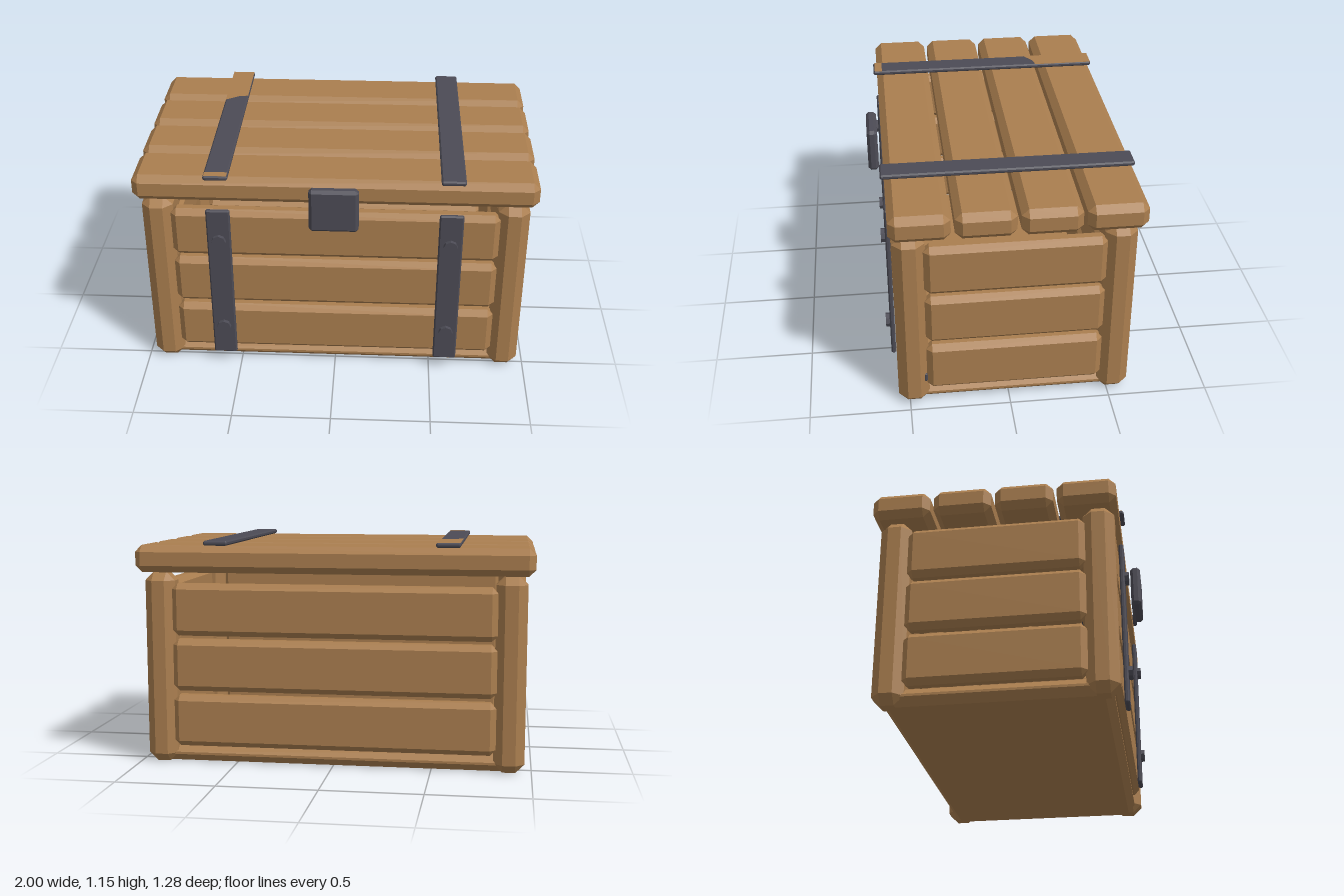
import * as THREE from 'three';
import { ConvexGeometry } from 'three/addons/geometries/ConvexGeometry.js';

const wood = new THREE.MeshStandardMaterial({ color: 0xaa7e4f });
wood.name = 'wood';
const iron = new THREE.MeshStandardMaterial({ color: 0x4c4b55 });
iron.name = 'iron';

// Box between two corners with every edge bevelled by c
function bevelBox(name, min, max, c, material) {
  const half = min.map((v, i) => (max[i] - v) / 2);
  const points = [];
  for (const sx of [-1, 1]) for (const sy of [-1, 1]) for (const sz of [-1, 1]) {
    for (let axis = 0; axis < 3; axis++) {
      const p = [sx, sy, sz].map((s, i) => s * (half[i] - (i === axis ? 0 : c)));
      points.push(new THREE.Vector3(...p));
    }
  }
  const mesh = new THREE.Mesh(new ConvexGeometry(points), material);
  mesh.position.set(...min.map((v, i) => (v + max[i]) / 2));
  mesh.name = name;
  return mesh;
}

// Thin flat plate on top of the lid, outlined by [x, z] points
function topPlate(name, outline, y, material) {
  const shape = new THREE.Shape(outline.map(([x, z]) => new THREE.Vector2(x, -z)));
  const geometry = new THREE.ExtrudeGeometry(shape, { depth: 0.001, bevelEnabled: false });
  geometry.rotateX(-Math.PI / 2);
  const mesh = new THREE.Mesh(geometry, material);
  mesh.position.y = y;
  mesh.name = name;
  return mesh;
}

export function createModel() {
  const chest = new THREE.Group();
  chest.name = 'chest';
  const body = new THREE.Group();
  body.name = 'body';
  const lid = new THREE.Group();
  lid.name = 'lid';
  const fittings = new THREE.Group();
  fittings.name = 'fittings';
  chest.add(body, lid, fittings);

  // Floor and corner posts
  body.add(bevelBox('floor', [-0.93, 0, -0.57], [0.93, 0.088, 0.52], 0.038, wood));
  for (const x of [-0.965, 0.81]) for (const z of [-0.605, 0.4]) {
    body.add(bevelBox('cornerPost', [x, 0, z], [x + 0.155, 0.985, z + 0.155], 0.045, wood));
  }

  // Three rows of wall planks, nearly flush with the posts, with open gaps
  for (const y of [0.087, 0.375, 0.66]) {
    const top = y + 0.267;
    for (const z of [-0.602, 0.46]) {
      body.add(bevelBox('longPlank', [-0.822, y, z], [0.822, top, z + 0.092], 0.029, wood));
    }
    for (const x of [-0.962, 0.87]) {
      body.add(bevelBox('sidePlank', [x, y, -0.461], [x + 0.092, top, 0.411], 0.029, wood));
    }
  }

  // Lid planks
  for (let i = 0; i < 4; i++) {
    const z = -0.64 + i * 0.307;
    lid.add(bevelBox('lidPlank', [-1, 0.985, z], [1, 1.122, z + 0.289], 0.034, wood));
  }

  // Iron straps on the lid and front, with bolts
  for (const x of [-0.578, 0.578]) {
    fittings.add(bevelBox('lidStrap', [x - 0.06, 1.123, -0.641], [x + 0.06, 1.147, 0.589], 0.007, iron));
    fittings.add(bevelBox('frontStrap', [x - 0.06, 0.073, 0.556], [x + 0.06, 0.948, 0.58], 0.007, iron));
    for (const y of [0.25, 0.775]) {
      const bolt = new THREE.Mesh(new THREE.CylinderGeometry(0.036, 0.036, 0.04, 8).toNonIndexed(), iron);
      bolt.geometry.computeVertexNormals();
      bolt.rotation.x = Math.PI / 2;
      bolt.position.set(x, y, 0.58);
      bolt.name = 'bolt';
      fittings.add(bolt);
    }
  }

  // Bare wood patches on the right lid strap
  fittings.add(topPlate('rearStrapPatch',
    [[-0.636, -0.639], [-0.636, -0.27], [-0.57, -0.315], [-0.52, -0.325], [-0.52, -0.639]], 1.1465, wood));
  fittings.add(topPlate('frontStrapPatch',
    [[-0.634, 0.542], [-0.634, 0.582], [-0.522, 0.582], [-0.522, 0.542]], 1.1465, wood));

  // Lock plate and a small stud beside the left front post
  fittings.add(bevelBox('lockPlate', [-0.122, 0.878, 0.589], [0.122, 1.108, 0.643], 0.015, iron));
  fittings.add(bevelBox('sideStud', [0.9, 0.13, 0.409], [0.945, 0.176, 0.425], 0.005, iron));

  return chest;
}
